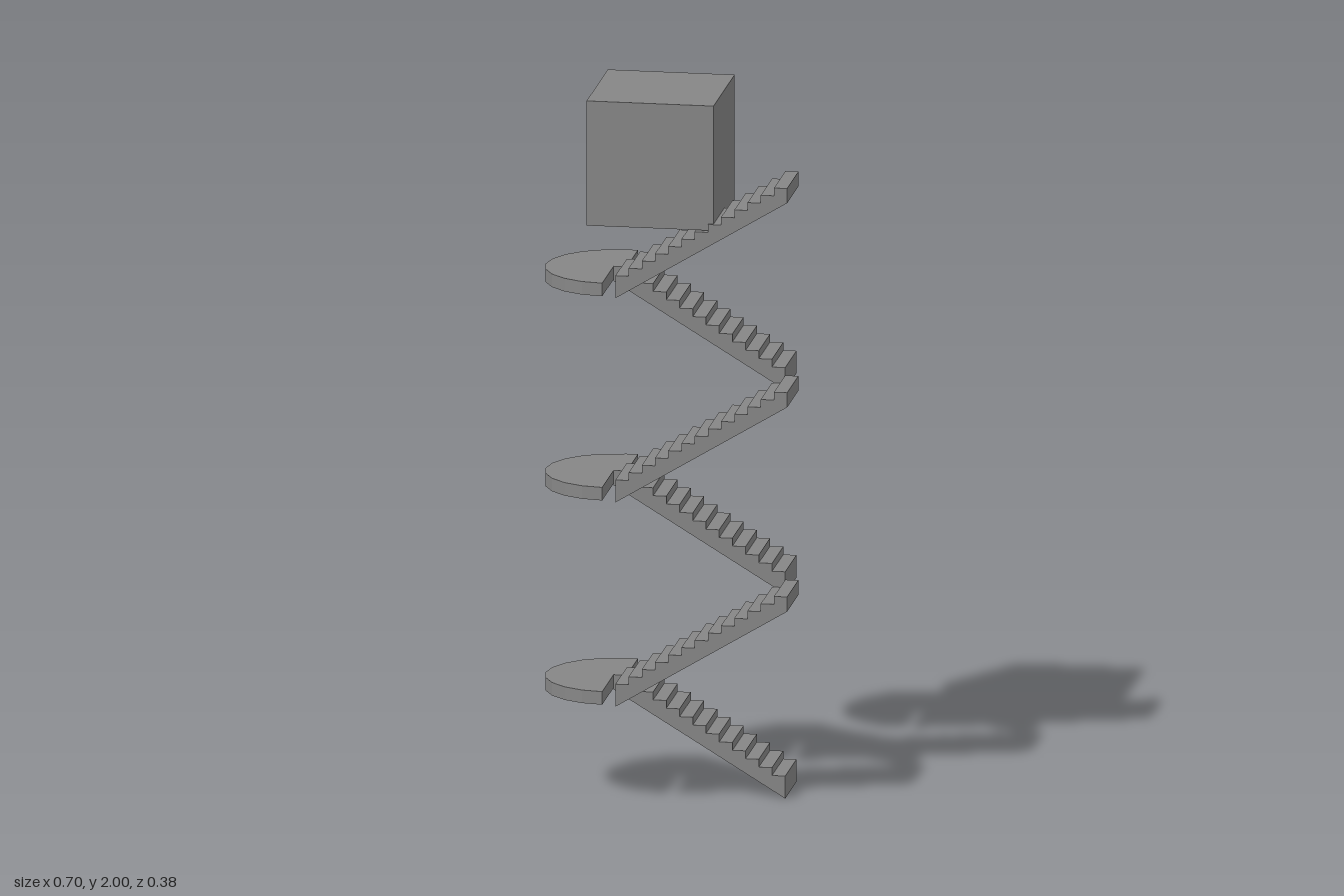
import * as THREE from 'three';

const STEPS = 13;          // treads per flight
const RUN = 0.03675;       // tread depth
const RISE = 0.02225;      // riser height
const SLAB = 0.0415;       // slab thickness under the treads
const WIDTH = 0.1885;      // flight width and landing radius
const FLIGHT = STEPS * RISE;
const LANDING_X = -0.163;

// Saw-toothed profile with a sloping underside, climbing along dir (+1 or -1) in x
function flightGeometry(startX, dir) {
  const shape = new THREE.Shape();
  shape.moveTo(startX, 0);
  for (let i = 0; i < STEPS; i++) {
    const top = SLAB + (i + 1) * RISE;
    shape.lineTo(startX + dir * i * RUN, top);
    shape.lineTo(startX + dir * (i + 1) * RUN, top);
  }
  shape.lineTo(startX + dir * STEPS * RUN, FLIGHT);
  shape.closePath();
  return new THREE.ExtrudeGeometry(shape, { depth: WIDTH, bevelEnabled: false });
}

// Half-round slab, ten straight edges around the outside
function landingGeometry() {
  const points = [];
  for (let i = 0; i <= 10; i++) {
    const a = Math.PI / 2 + (i / 10) * Math.PI;
    points.push(new THREE.Vector2(Math.cos(a) * WIDTH, Math.sin(a) * WIDTH));
  }
  const geometry = new THREE.ExtrudeGeometry(new THREE.Shape(points), { depth: 0.037, bevelEnabled: false });
  return geometry.rotateX(-Math.PI / 2);
}

export function createModel() {
  const model = new THREE.Group();
  model.name = 'switchbackStaircase';
  const material = new THREE.MeshStandardMaterial({ color: 0x868686, flatShading: true });

  const add = (name, geometry, x, y, z) => {
    const mesh = new THREE.Mesh(geometry, material);
    mesh.name = name;
    mesh.position.set(x, y, z);
    model.add(mesh);
  };

  const backFlight = flightGeometry(LANDING_X + STEPS * RUN, -1);
  const frontFlight = flightGeometry(LANDING_X + RUN, 1);
  const landing = landingGeometry();

  // Three storeys: back flight up to the landing, front flight back across
  for (let storey = 0; storey < 3; storey++) {
    const y = storey * 2 * FLIGHT;
    add(`backFlight${storey + 1}`, backFlight, 0, y, -WIDTH);
    add(`landing${storey + 1}`, landing, LANDING_X, y + FLIGHT + 0.004, 0);
    add(`frontFlight${storey + 1}`, frontFlight, 0, y + FLIGHT, 0);
  }

  // Cube over the top of the stairs
  add('topCube', new THREE.BoxGeometry(0.353, 0.353, 0.353), -0.031, 1.8235, 0.005);

  return model;
}
